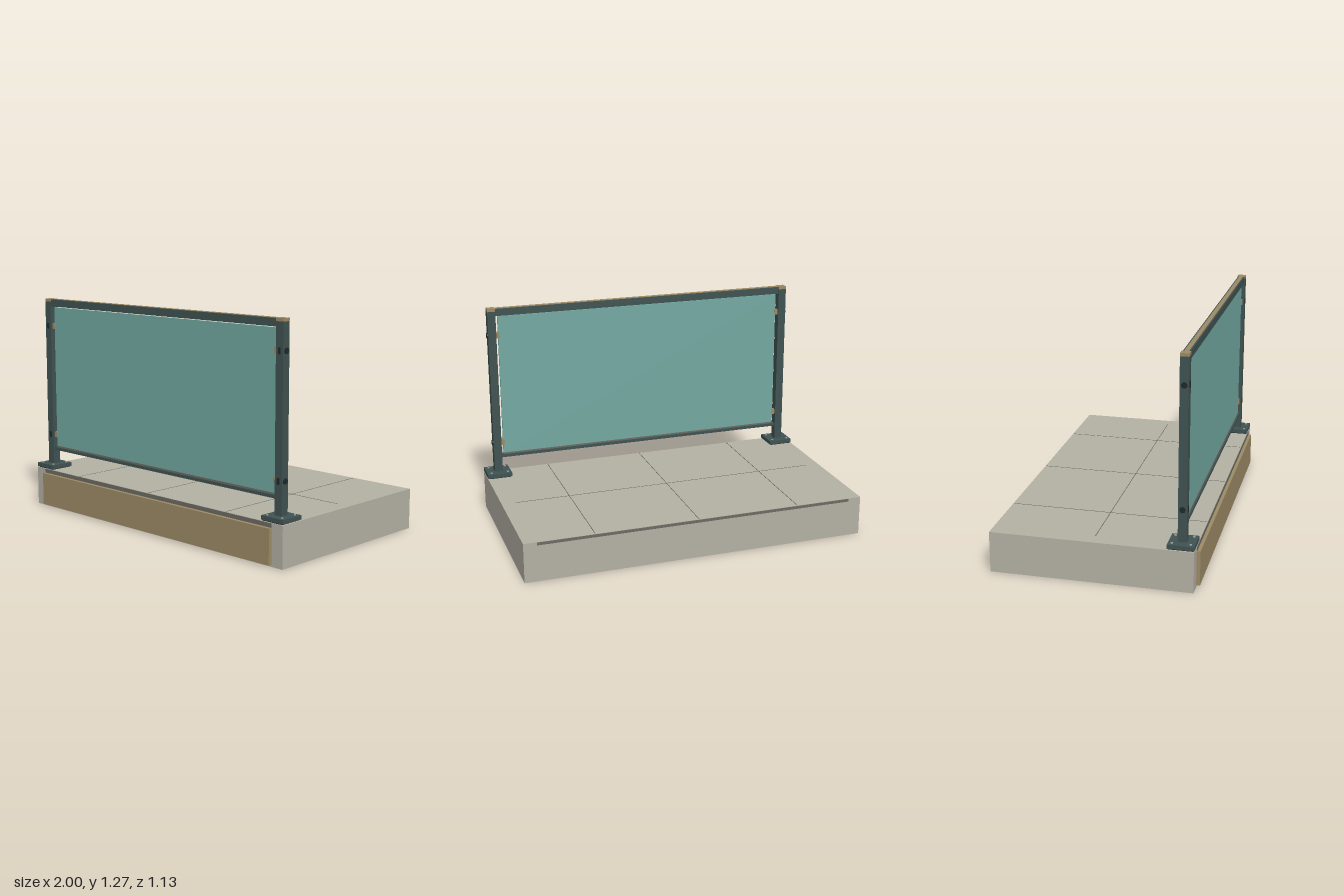
import * as THREE from 'three';

const material = (name, color) => {
  const m = new THREE.MeshStandardMaterial({ color });
  m.name = name;
  return m;
};

export function createModel() {
  const root = new THREE.Group();
  root.name = 'balconyRailing';
  const concrete = material('concrete', 0xb4b1a4);
  const joint = material('jointGrey', 0x6c6b63);
  const frame = material('darkFrame', 0x3f5251);
  const bronze = material('bronze', 0x9d8b65);
  const glass = material('glass', 0x73a9a1);
  const dark = material('darkFixing', 0x1f2829);
  const steel = material('boltSteel', 0x8f9a98);

  // Box given by its minimum and maximum corners
  const box = (parent, name, mat, x0, x1, y0, y1, z0, z1) => {
    const mesh = new THREE.Mesh(new THREE.BoxGeometry(x1 - x0, y1 - y0, z1 - z0), mat);
    mesh.position.set((x0 + x1) / 2, (y0 + y1) / 2, (z0 + z1) / 2);
    mesh.name = name;
    parent.add(mesh);
    return mesh;
  };
  const cylinder = (parent, name, mat, r, h, x, y, z) => {
    const mesh = new THREE.Mesh(new THREE.CylinderGeometry(r, r, h, 16), mat);
    mesh.position.set(x, y, z);
    mesh.name = name;
    parent.add(mesh);
    return mesh;
  };

  // Floor slab with fascia board and recessed-looking edge strips
  const floor = new THREE.Group();
  floor.name = 'floor';
  root.add(floor);
  box(floor, 'slab', concrete, -1, 1, 0, 0.231, -0.565, 0.545);
  box(floor, 'fascia', bronze, -0.925, 0.925, 0.01, 0.205, 0.545, 0.565);
  box(floor, 'frontEdgeStrip', joint, -0.925, 0.925, 0.206, 0.229, 0.544, 0.547);
  box(floor, 'backEdgeStrip', joint, -0.925, 0.925, 0.212, 0.229, -0.566, -0.564);

  // Fine paving joints
  for (const x of [-0.6, 0, 0.6])
    box(floor, 'crossJoint', joint, x - 0.002, x + 0.002, 0.23, 0.232, -0.56, 0.54);
  box(floor, 'longJoint', joint, -0.92, 0.92, 0.23, 0.232, -0.002, 0.002);

  // Posts with base plates, bolts, caps and glass clamps
  const zc = 0.472;
  for (const side of [-1, 1]) {
    const post = new THREE.Group();
    post.name = side > 0 ? 'leftPost' : 'rightPost';
    post.position.x = side * 0.925;
    root.add(post);
    box(post, 'basePlate', frame, -0.072, 0.075, 0.236, 0.259, 0.4, 0.545);
    box(post, 'basePad', dark, -0.066, 0.066, 0.23, 0.237, 0.406, 0.539);
    box(post, 'upright', frame, -0.024, 0.024, 0.255, 1.254, zc - 0.024, zc + 0.024);
    box(post, 'cap', bronze, -0.024, 0.024, 1.254, 1.271, zc - 0.024, zc + 0.024);
    for (const bx of [-0.05, 0.05])
      for (const bz of [-0.05, 0.05])
        cylinder(post, 'anchorBolt', steel, 0.007, 0.006, bx, 0.261, zc + bz);

    for (const y of [0.44, 1.107]) {
      box(post, 'glassClamp', bronze, Math.min(-side * 0.022, -side * 0.046),
        Math.max(-side * 0.022, -side * 0.046), y - 0.017, y + 0.017, zc - 0.012, zc + 0.012);
      const outer = cylinder(post, 'outerClampBolt', dark, 0.016, 0.008, side * 0.026, y, zc);
      outer.rotation.z = Math.PI / 2;
      box(post, 'clampPlate', dark, -0.008, 0.008, y - 0.017, y + 0.017, zc + 0.023, zc + 0.027);
    }
  }

  // Rails and glass panel
  const panel = new THREE.Group();
  panel.name = 'panel';
  root.add(panel);
  box(panel, 'topRail', frame, -0.902, 0.902, 1.226, 1.268, zc - 0.02, zc + 0.02);
  box(panel, 'handrailInlay', bronze, -0.902, 0.902, 1.266, 1.271, zc - 0.012, zc + 0.012);
  box(panel, 'bottomRail', frame, -0.902, 0.902, 0.344, 0.361, zc - 0.016, zc + 0.016);
  box(panel, 'glassGasket', joint, -0.885, 0.885, 0.361, 0.37, zc - 0.009, zc + 0.009);
  box(panel, 'glassPane', glass, -0.887, 0.887, 0.36, 1.22, zc - 0.006, zc + 0.006);

  return root;
}
